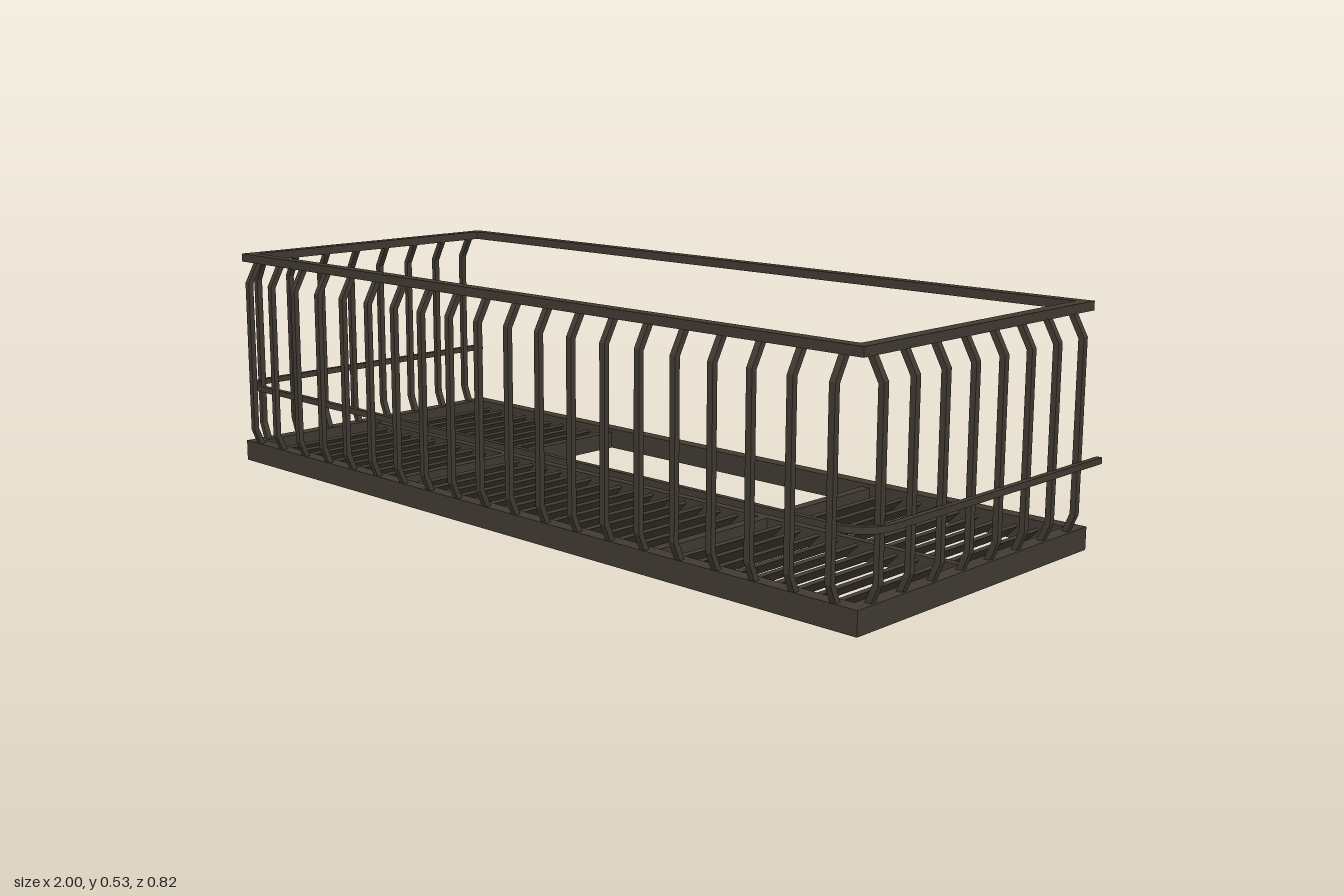
import * as THREE from 'three';

const iron = new THREE.MeshStandardMaterial({ color: 0x403a31 });
iron.name = 'dark iron';

function add(parent, name, geometry, x = 0, y = 0, z = 0) {
  const mesh = new THREE.Mesh(geometry, iron);
  mesh.name = name;
  mesh.position.set(x, y, z);
  parent.add(mesh);
  return mesh;
}

// Box given by its min and max corners
function bar(parent, name, x0, x1, y0, y1, z0, z1) {
  return add(parent, name, new THREE.BoxGeometry(x1 - x0, y1 - y0, z1 - z0),
    (x0 + x1) / 2, (y0 + y1) / 2, (z0 + z1) / 2);
}

// Flat strip of constant width following a bent line, extruded and centred in depth
function bentBar(points, width, depth) {
  const side = (s) => points.map((p, i) => {
    const a = points[Math.max(i - 1, 0)], b = points[Math.min(i + 1, points.length - 1)];
    const d1 = p.clone().sub(a).normalize(), d2 = b.clone().sub(p).normalize();
    const dir = d1.clone().add(d2).normalize();
    const along = d1.lengthSq() > 0 ? d1 : d2;
    const k = s * width / 2 / dir.dot(along);
    return new THREE.Vector2(p.x - dir.y * k, p.y + dir.x * k);
  });
  const shape = new THREE.Shape([...side(1), ...side(-1).reverse()]);
  return new THREE.ExtrudeGeometry(shape, { depth, bevelEnabled: false }).translate(0, 0, -depth / 2);
}

// Rectangular loop of four bars
function loop(parent, name, hx, hz, y0, y1, t) {
  const g = new THREE.Group();
  g.name = name;
  for (const s of [-1, 1]) {
    const z = s * (hz - t / 2), x = s * (hx - t / 2);
    bar(g, name + 'Long', -hx, hx, y0, y1, z - t / 2, z + t / 2);
    bar(g, name + 'Short', x - t / 2, x + t / 2, y0, y1, -hz + t, hz - t);
  }
  parent.add(g);
}

export function createModel() {
  const model = new THREE.Group();
  model.name = 'balcony';

  loop(model, 'baseFrame', 0.98, 0.395, 0.002, 0.053, 0.033);
  loop(model, 'topRail', 0.975, 0.39, 0.515, 0.535, 0.028);

  // Floor beams around the hatch opening
  bar(model, 'middleBeam', -0.95, 0.95, 0.002, 0.044, -0.015, 0.004);
  for (const s of [-1, 1]) {
    const x = s * 0.424;
    bar(model, 'crossBeam', x - 0.012, x + 0.012, 0.002, 0.044, -0.365, 0.365);
  }

  // Tilted floor slats, leaving the hatch open
  const floor = new THREE.Group();
  floor.name = 'floorSlats';
  model.add(floor);
  const slats = (x0, x1, count, z0, z1) => {
    const geometry = new THREE.BoxGeometry(0.042, 0.007, z1 - z0);
    const step = (x1 - x0) / count;
    for (let i = 0; i < count; i++) {
      add(floor, 'slat', geometry, x0 + step * (i + 0.5), 0.02, (z0 + z1) / 2).rotation.z = Math.PI / 4;
    }
  };
  slats(-0.945, -0.436, 10, -0.365, 0.365);
  slats(0.436, 0.945, 10, -0.365, 0.365);
  slats(-0.412, 0.412, 16, 0, 0.365);

  // Bent balusters on the front and both ends
  const V = (x, y) => new THREE.Vector2(x, y);
  const baluster = bentBar([V(-0.02, 0.045), V(0, 0.092), V(0, 0.465), V(-0.03, 0.52)], 0.013, 0.0145);
  const railing = new THREE.Group();
  railing.name = 'balusters';
  model.add(railing);
  for (let i = 0; i < 20; i++) {
    add(railing, 'frontBaluster', baluster, -0.927 + i * 0.0973, 0, 0.403).rotation.y = -Math.PI / 2;
  }
  for (let i = 0; i < 8; i++) {
    const z = 0.34 - i * 0.0967;
    add(railing, 'leftBaluster', baluster, 0.983, 0, z);
    add(railing, 'rightBaluster', baluster, -0.983, 0, z).rotation.y = Math.PI;
  }

  // Middle rail with rounded front corners, open at the back
  const half = [V(0.993, -0.41)];
  for (let i = 0; i <= 6; i++) {
    const a = (i / 6) * Math.PI / 2;
    half.push(V(0.923 + 0.07 * Math.cos(a), 0.319 + 0.07 * Math.sin(a)));
  }
  const path = [...half, ...half.map((p) => V(-p.x, p.y)).reverse()];
  add(model, 'middleRail', bentBar(path, 0.013, 0.014).rotateX(Math.PI / 2), 0, 0.197, 0);

  return model;
}
